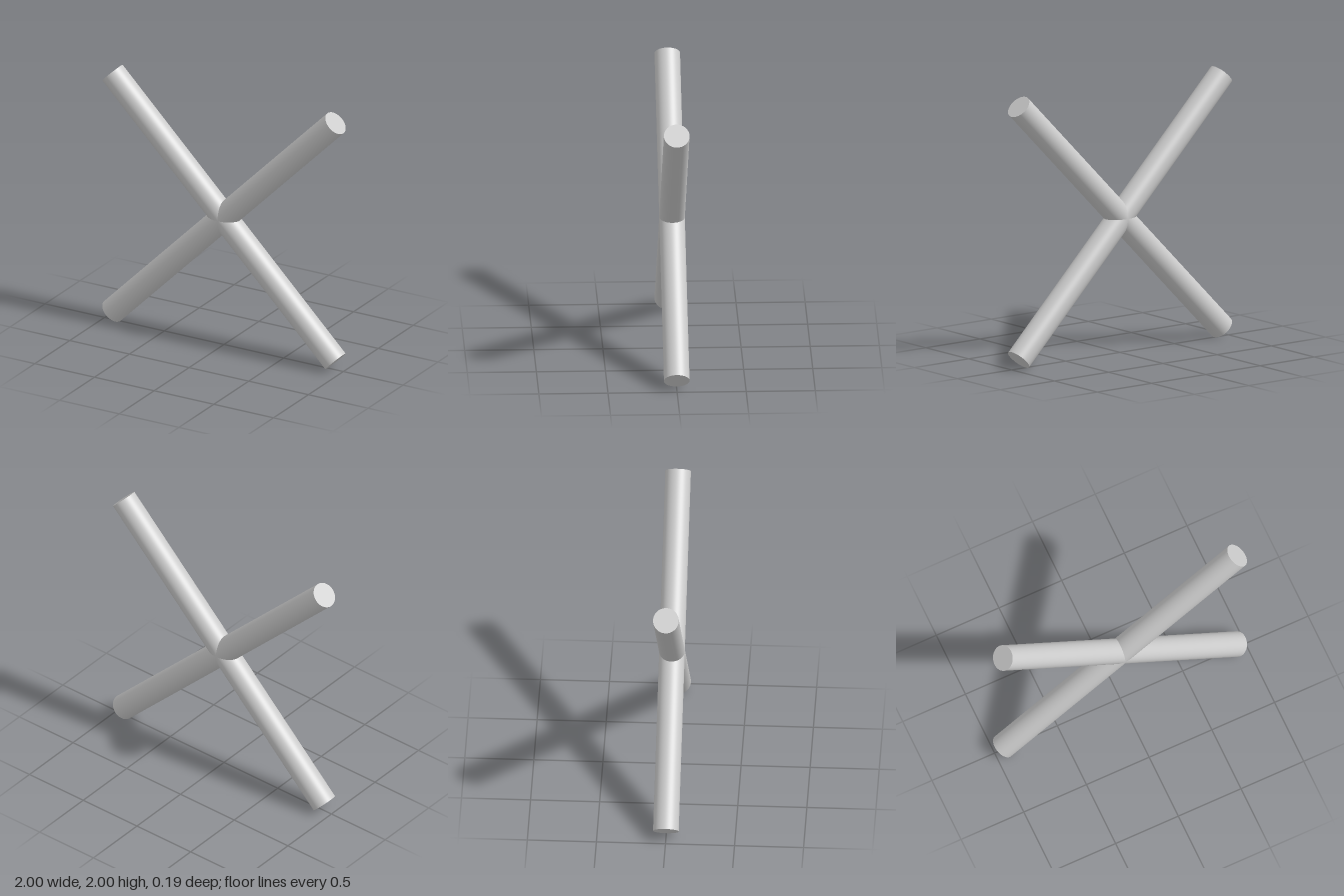
import * as THREE from 'three';

export function createModel() {
  const group = new THREE.Group();
  group.name = 'crossedRods';
  const material = new THREE.MeshStandardMaterial({ color: 0xcccccc });

  // The outer corners of the tilted rods touch a 2 x 2 square
  const radius = 0.093;
  const length = 2 * (Math.SQRT2 - radius);
  const geometry = new THREE.CylinderGeometry(radius, radius, length, 64);

  // Two equal round rods crossing at right angles
  for (const [name, side] of [['rodRisingLeft', -1], ['rodRisingRight', 1]]) {
    const rod = new THREE.Mesh(geometry, material);
    rod.name = name;
    rod.position.y = 1;
    rod.rotation.z = side * Math.PI / 4;
    group.add(rod);
  }
  return group;
}
